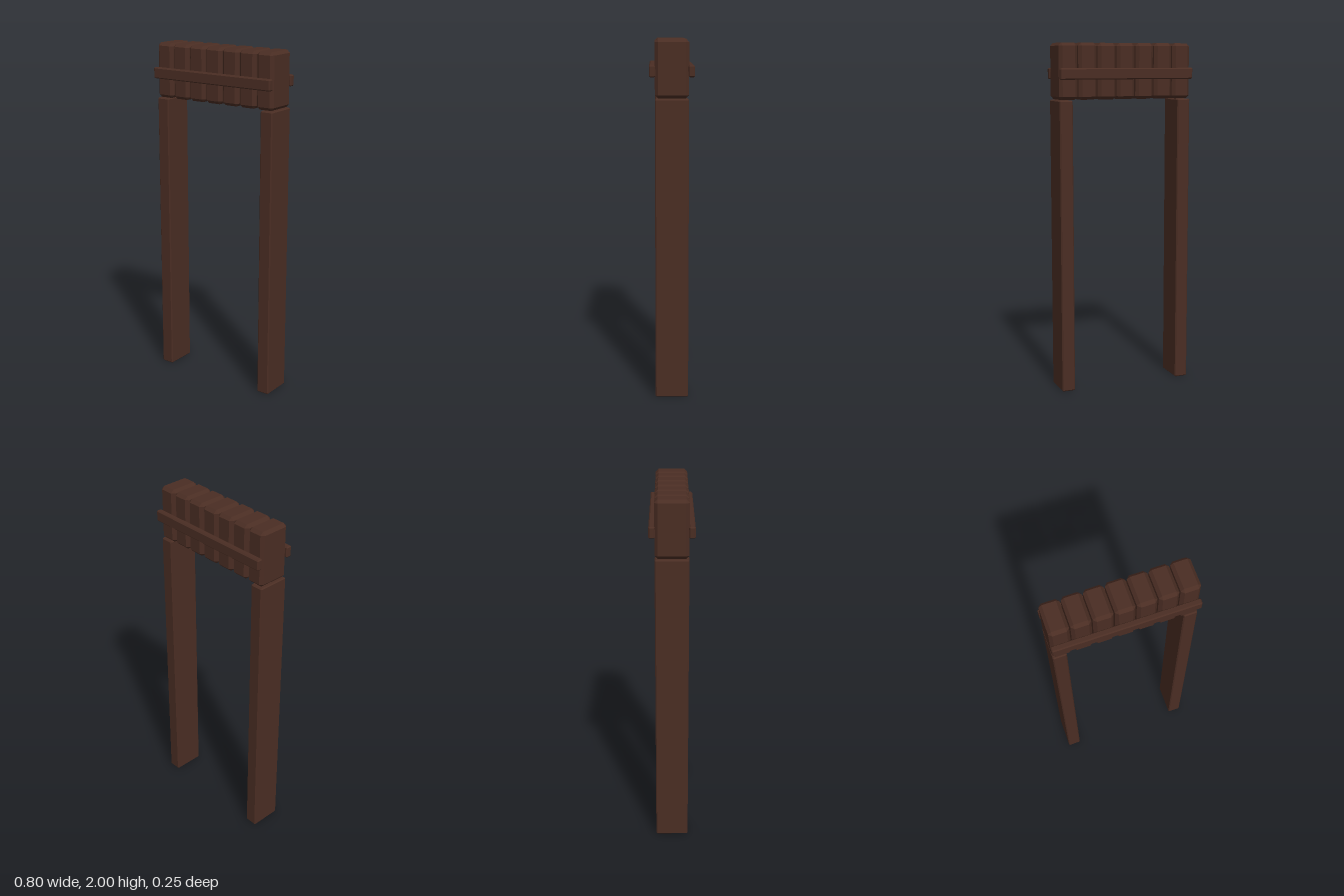
import * as THREE from 'three';
import { ConvexGeometry } from 'three/addons/geometries/ConvexGeometry.js';

// Box with flat bevels on all edges
function bevelBox(w, h, d, b) {
  const points = [];
  for (const sx of [-1, 1]) for (const sy of [-1, 1]) for (const sz of [-1, 1]) {
    const x = w / 2, y = h / 2, z = d / 2;
    points.push(
      new THREE.Vector3(sx * x, sy * (y - b), sz * (z - b)),
      new THREE.Vector3(sx * (x - b), sy * y, sz * (z - b)),
      new THREE.Vector3(sx * (x - b), sy * (y - b), sz * z));
  }
  return new ConvexGeometry(points);
}

export function createModel() {
  const group = new THREE.Group();
  const wood = new THREE.MeshStandardMaterial({ color: 0x4a2d23 });
  wood.name = 'darkWood';

  const add = (name, geometry, x, y, z) => {
    const mesh = new THREE.Mesh(geometry, wood);
    mesh.name = name;
    mesh.position.set(x, y, z);
    group.add(mesh);
  };

  // Two tall posts
  const post = bevelBox(0.077, 1.682, 0.184, 0.006);
  add('leftPost', post, 0.3595, 0.841, 0);
  add('rightPost', post, -0.3595, 0.841, 0);

  // Row of seven upright blocks across the top
  const block = bevelBox(0.108, 0.315, 0.184, 0.017);
  for (let i = 0; i < 7; i++) {
    add(`topBlock${i + 1}`, block, (i - 3) * 0.1145, 1.8425, 0);
  }

  // Rails clamping the blocks front and back
  const rail = bevelBox(0.8, 0.063, 0.034, 0.006);
  add('frontRail', rail, 0, 1.829, 0.106);
  add('backRail', rail, 0, 1.829, -0.106);

  return group;
}
